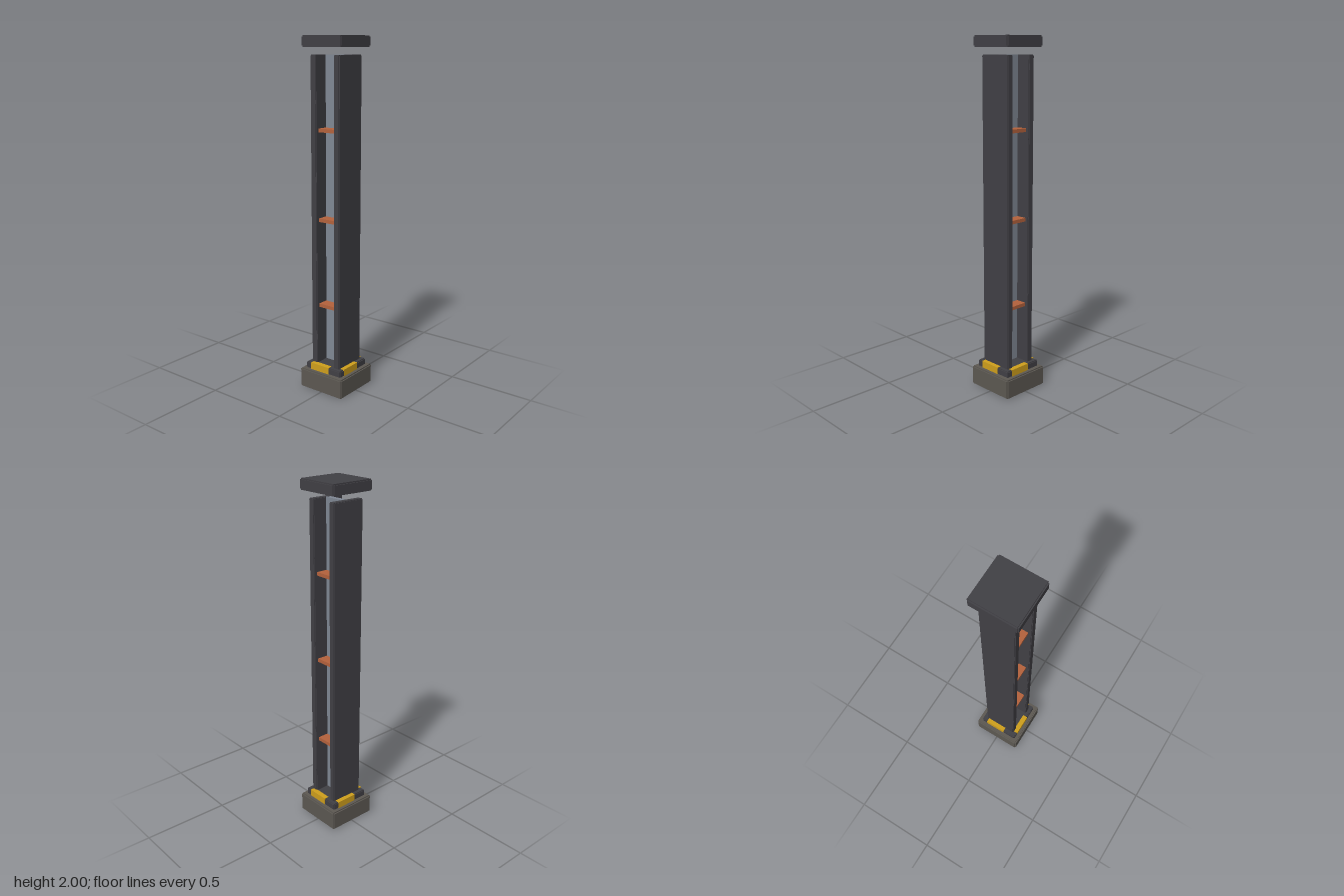
import * as THREE from 'three';

const mat = (name, color) => {
  const m = new THREE.MeshStandardMaterial({ color });
  m.name = name;
  return m;
};

export function createModel() {
  const steel = mat('dark steel', 0x414045);
  const stone = mat('footing grey', 0x5c5852);
  const webGrey = mat('web blue grey', 0x808894);
  const gold = mat('hazard gold', 0xcf9f1c);
  const copper = mat('copper', 0xb4623c);

  const model = new THREE.Group();
  model.name = 'column';

  const box = (parent, name, material, size, pos) => {
    const mesh = new THREE.Mesh(new THREE.BoxGeometry(...size), material);
    mesh.name = name;
    mesh.position.set(...pos);
    parent.add(mesh);
    return mesh;
  };

  // Block with stepped edges: three crossed boxes, each full size along one axis
  const steppedBlock = (name, material, size, pos, step) => {
    const group = new THREE.Group();
    group.name = name;
    group.position.set(...pos);
    for (let axis = 0; axis < 3; axis++) {
      const s = size.map((v, i) => (i === axis ? v : v - 2 * step));
      box(group, name + 'Core', material, s, [0, 0, 0]);
    }
    model.add(group);
  };

  // Footing, collar and floating cap
  steppedBlock('footing', stone, [0.298, 0.114, 0.298], [0, 0.057, 0], 0.007);
  steppedBlock('collar', steel, [0.246, 0.04, 0.246], [0, 0.132, 0], 0.005);
  steppedBlock('cap', steel, [0.266, 0.06, 0.266], [0, 1.97, 0], 0.007);

  // I-beam: front and back flanges joined by a web
  for (const side of [1, -1]) {
    steppedBlock('flange', steel, [0.2, 1.77, 0.038], [0, 1.015, side * 0.079], 0.004);
  }
  box(model, 'web', webGrey, [0.03, 1.77, 0.12], [0, 1.015, 0]);

  // Stiffener plates on both sides of the web
  for (const y of [0.5, 1.0, 1.5]) {
    box(model, 'stiffener', copper, [0.16, 0.02, 0.12], [0, y, 0]);
  }

  // Gold inlays around the collar, offset to one end of each side
  for (let i = 0; i < 4; i++) {
    const side = new THREE.Group();
    side.name = 'collarInlay';
    side.rotation.y = i * Math.PI / 2;
    box(side, 'inlay', gold, [0.128, 0.04, 0.03], [-0.024, 0.134, 0.109]);
    model.add(side);
  }

  return model;
}
